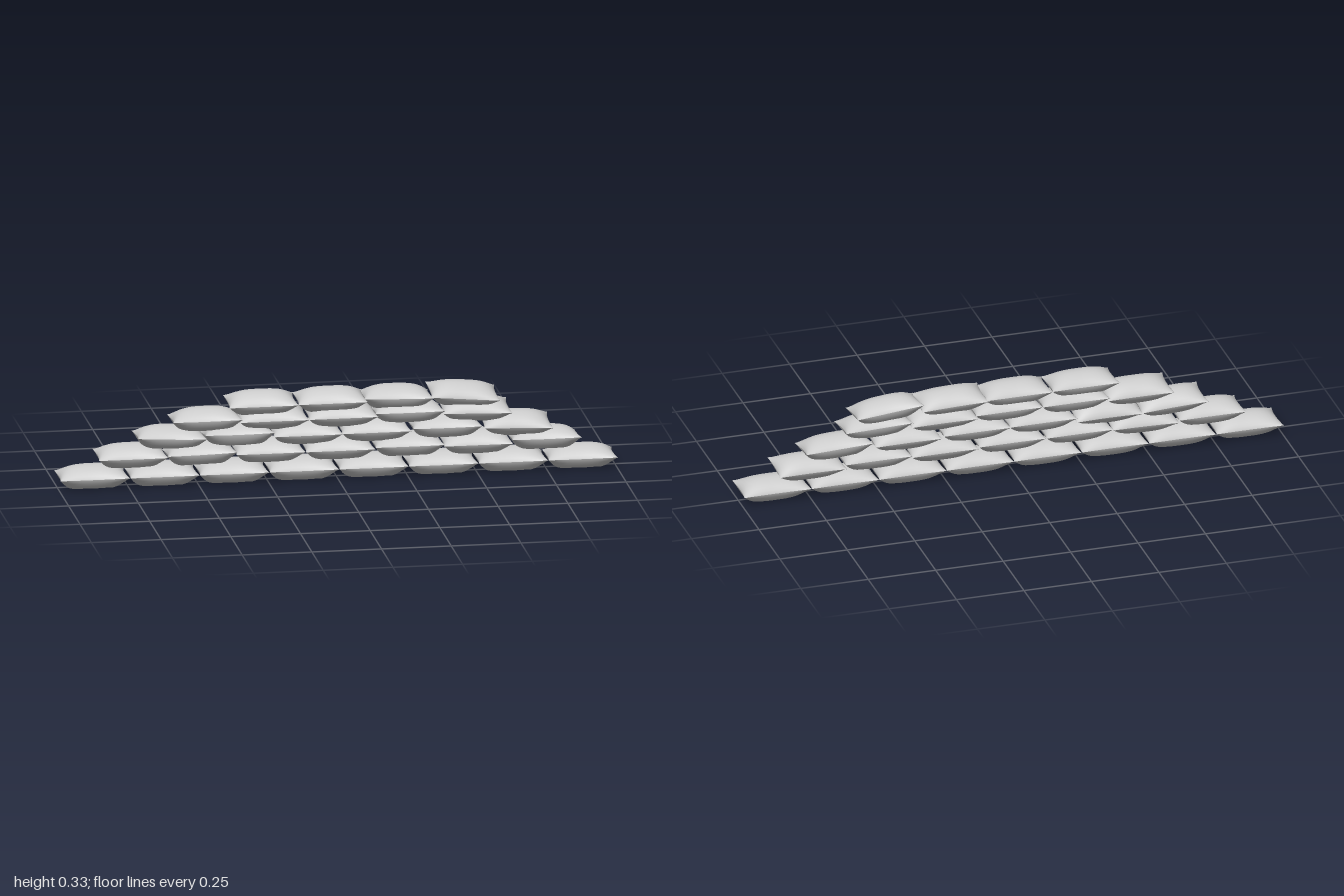
import * as THREE from 'three';

const HALF_LENGTH = 0.125, HALF_DEPTH = 0.076;

// One half of a stuffed bag: a sheet with pinched corners, domed away from the seam
function bagSheet(side) {
  const geometry = new THREE.PlaneGeometry(2, 2, 20, 14);
  geometry.rotateX(side > 0 ? -Math.PI / 2 : Math.PI / 2);
  const p = geometry.attributes.position;
  for (let i = 0; i < p.count; i++) {
    // Sine spacing packs the vertices near the seam
    const u = Math.sin(p.getX(i) * Math.PI / 2);
    const v = Math.sin(p.getZ(i) * Math.PI / 2);
    const swell = Math.max(0, 1 - Math.abs(u) ** 3) ** 0.6 * Math.max(0, 1 - v * v) ** 0.75;
    const height = side > 0 ? 0.043 * swell : -Math.min(0.04, 0.054 * swell);
    // Edges bow inwards between the corners; corners lift a little
    const x = u * HALF_LENGTH * (1 - 0.06 * (1 - v * v));
    const z = v * HALF_DEPTH * (1 - 0.11 * (1 - u * u));
    p.setXYZ(i, x, height + 0.003 * u * u * v * v, z);
  }
  geometry.computeVertexNormals();
  return geometry;
}

// Each course: seam height, then bags as [x, z, roll about x, tilt about z]
const courses = [
  { y: 0.04, bags: [-0.875, -0.625, -0.375, -0.125, 0.125, 0.375, 0.625, 0.875].map((x) => [x, 0, 0, 0]) },
  { y: 0.111, bags: [
    [-0.737, 0, 0.03, 0], [-0.49, 0.005, -0.08, 0.02], [-0.245, 0, 0.03, 0], [0.005, 0, 0.04, 0],
    [0.255, 0, -0.03, 0], [0.5, 0, 0.05, 0], [0.747, -0.01, -0.08, 0]] },
  { y: 0.172, bags: [
    [-0.597, 0, -0.06, -0.05], [-0.355, 0, -0.16, 0], [-0.11, 0, 0.05, 0], [0.135, 0, 0.04, 0],
    [0.39, 0, -0.05, 0], [0.645, -0.004, 0.14, -0.04]] },
  { y: 0.232, bags: [
    [-0.47, 0, -0.06, 0], [-0.232, 0, 0.08, 0], [0.015, 0.004, 0.06, 0], [0.255, 0, -0.07, 0],
    [0.497, 0, 0.12, -0.03]] },
  { y: 0.287, bags: [
    [-0.27, 0.005, 0.06, 0], [-0.022, 0.003, 0.05, 0], [0.215, 0.003, -0.04, -0.03],
    [0.455, 0, 0.13, -0.09]] },
];

export function createModel() {
  const group = new THREE.Group();
  group.name = 'sandbagWall';
  const material = new THREE.MeshStandardMaterial({ color: 0xcccccc });
  const top = bagSheet(1), bottom = bagSheet(-1);

  courses.forEach(({ y, bags }, row) => {
    const course = new THREE.Group();
    course.name = `course${row + 1}`;
    bags.forEach(([x, z, roll, tilt], i) => {
      const bag = new THREE.Group();
      bag.name = `sandbag${i + 1}`;
      const upper = new THREE.Mesh(top, material);
      upper.name = 'bagTop';
      const lower = new THREE.Mesh(bottom, material);
      lower.name = 'bagBottom';
      bag.add(upper, lower);
      bag.position.set(x, y, z);
      bag.rotation.set(roll, 0, tilt);
      course.add(bag);
    });
    group.add(course);
  });
  return group;
}
